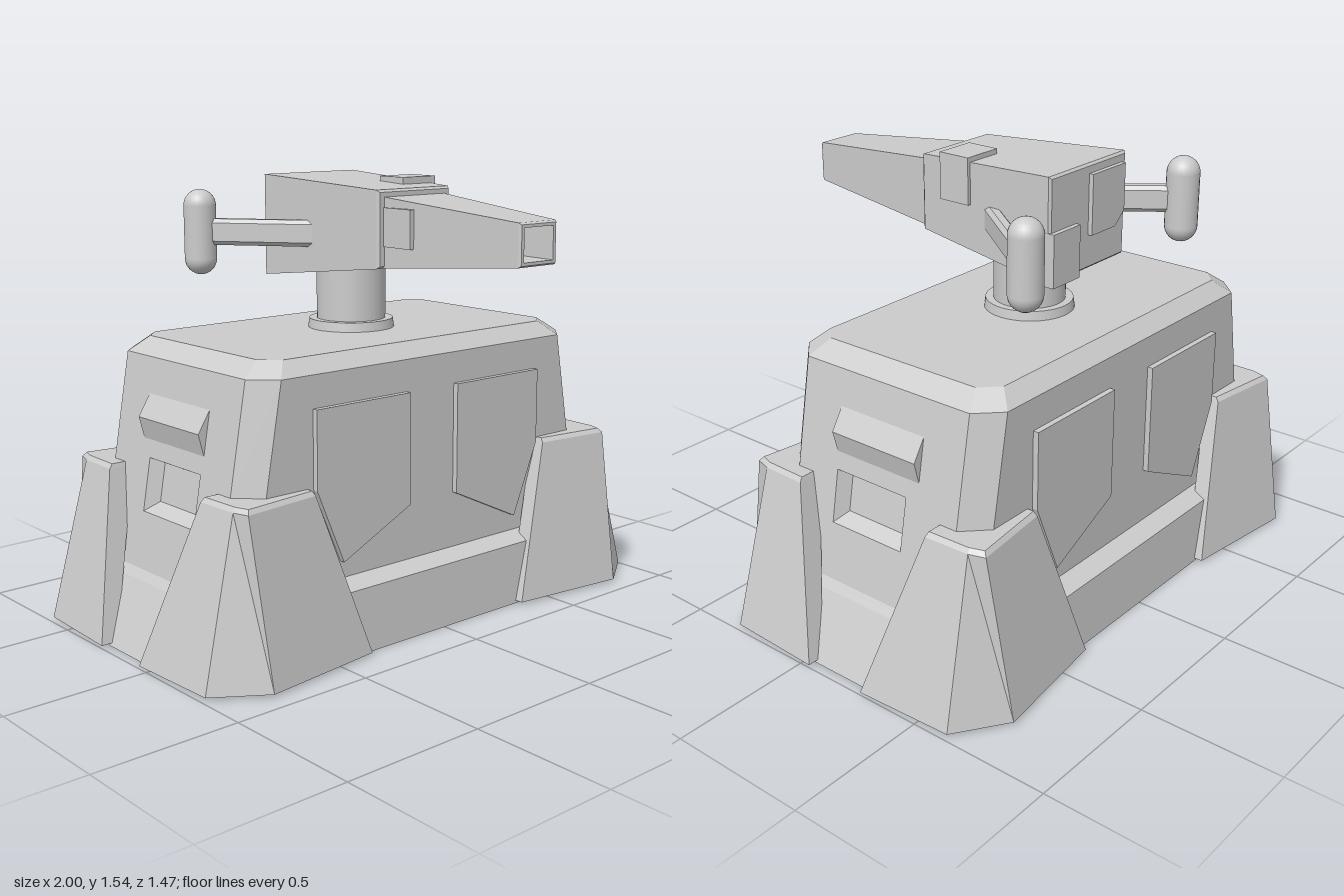
import * as THREE from 'three';

const material = new THREE.MeshStandardMaterial({ color: 0xcccccc, side: THREE.DoubleSide });

function add(parent, name, geometry, x = 0, y = 0, z = 0) {
  const mesh = new THREE.Mesh(geometry, material);
  mesh.name = name;
  mesh.position.set(x, y, z);
  parent.add(mesh);
  return mesh;
}

// Flat-faced skin over a list of rings with equal point counts; optional end caps.
function loft(rings, { capStart = false, capEnd = false, skip = () => false } = {}) {
  const pos = [];
  const quad = (a, b, c, d) => pos.push(...a, ...b, ...c, ...a, ...c, ...d);
  const n = rings[0].length;
  for (let r = 0; r < rings.length - 1; r++) {
    for (let i = 0; i < n; i++) {
      const j = (i + 1) % n;
      if (!skip(r, i)) quad(rings[r][i], rings[r][j], rings[r + 1][j], rings[r + 1][i]);
    }
  }
  const cap = (p, flip) => {
    for (let i = 0; i < n / 2 - 1; i++) {
      const q = [p[i], p[i + 1], p[n - 2 - i], p[n - 1 - i]];
      quad(...(flip ? q.reverse() : q));
    }
  };
  if (capStart) cap(rings[0], true);
  if (capEnd) cap(rings[rings.length - 1], false);
  const g = new THREE.BufferGeometry();
  g.setAttribute('position', new THREE.Float32BufferAttribute(pos, 3));
  g.computeVertexNormals();
  return g;
}

// Rectangle at height y with corners cut by cx and cz
const octagon = (y, hx, hz, cx, cz) => [
  [-hx + cx, hz], [hx - cx, hz], [hx, hz - cz], [hx, -hz + cz],
  [hx - cx, -hz], [-hx + cx, -hz], [-hx, -hz + cz], [-hx, hz - cz],
].map(([x, z]) => [x, y, z]);

// Upright rectangle at depth z
const rect = (z, hw, lo, hi) => [[-hw, lo, z], [hw, lo, z], [hw, hi, z], [-hw, hi, z]];

const shapeOf = (pts) => new THREE.Shape(pts.map(([x, y]) => new THREE.Vector2(x, y)));

function createBase() {
  const base = new THREE.Group();
  base.name = 'base';
  base.position.z = -0.155;

  // Hull, open below, its lower corners cut away behind the legs;
  // the two sloping side walls are made separately
  const wallX = (y) => 0.72 + (0.95 - y) * (0.125 / 0.7);
  add(base, 'hull', loft([
    octagon(0, 0.965, 0.5, 0.585, 0.37),
    octagon(0.22, 0.865, 0.485, 0.375, 0.27),
    octagon(0.25, wallX(0.25), 0.42, 0.345, 0.2),
    octagon(0.56, wallX(0.56), 0.42, 0.08, 0.08),
    octagon(0.95, wallX(0.95), 0.42, 0.08, 0.08),
    octagon(1.0, 0.65, 0.365, 0.06, 0.06),
  ], { capEnd: true, skip: (r, i) => (r === 2 || r === 3) && (i === 2 || i === 6) }));

  // Side walls with a recessed window and a ridge above it
  const opening = (hw, lo, hi) => [[-0.02 - hw, lo], [-0.02 + hw, lo], [-0.02 + hw, hi], [-0.02 - hw, hi]];
  const onWall = (pts, depth) => pts.map(([s, y]) => [wallX(y) - depth, y, -s]);
  for (const side of [1, -1]) {
    const group = new THREE.Group();
    group.name = side > 0 ? 'leftSide' : 'rightSide';
    group.scale.x = side;
    base.add(group);

    const outer = opening(0.148, 0.44, 0.62);
    const shape = shapeOf([
      [-0.22, 0.25], [0.22, 0.25], [0.34, 0.56], [0.34, 0.95], [-0.34, 0.95], [-0.34, 0.56]]);
    shape.holes.push(shapeOf(outer));
    const wall = new THREE.ShapeGeometry(shape);
    const p = wall.attributes.position;
    for (let i = 0; i < p.count; i++) p.setXYZ(i, wallX(p.getY(i)), p.getY(i), -p.getX(i));
    wall.computeVertexNormals();
    add(group, 'sideWall', wall);
    add(group, 'windowRecess', loft(
      [onWall(outer, 0), onWall(opening(0.12, 0.47, 0.6), 0.045)], { capEnd: true }));

    const ridge = shapeOf([[0.73, 0.68], [0.768, 0.68], [0.788, 0.755], [0.741, 0.83], [0.73, 0.83]]);
    add(group, 'sideRidge', new THREE.ExtrudeGeometry(ridge, { depth: 0.35, bevelEnabled: false }), 0, 0, -0.175);
  }

  // Armour panels and corner legs, mirrored to all four quarters
  const panel = new THREE.ExtrudeGeometry(
    shapeOf([[0.11, 0.84], [0.11, 0.45], [0.405, 0.31], [0.515, 0.57], [0.515, 0.84]]),
    { depth: 0.045, bevelEnabled: false });
  const at = (y, pts) => pts.map(([x, z]) => [x, y, z]);
  const leg = loft([
    at(0.01, [[0.36, 0.53], [0.81, 0.585], [0.985, 0.465], [1.0, 0.115],
      [0.94, 0.115], [0.93, 0.44], [0.79, 0.53], [0.36, 0.47]]),
    at(0.565, [[0.535, 0.455], [0.828, 0.491], [0.845, 0.435], [0.851, 0.27],
      [0.76, 0.27], [0.77, 0.34], [0.7, 0.4], [0.535, 0.4]]),
    at(0.58, [[0.54, 0.443], [0.817, 0.478], [0.833, 0.43], [0.838, 0.275],
      [0.76, 0.275], [0.77, 0.34], [0.7, 0.4], [0.54, 0.4]]),
  ], { capStart: true, capEnd: true });
  for (const sx of [1, -1]) {
    for (const sz of [1, -1]) {
      const end = sz > 0 ? 'front' : 'back';
      add(base, end + 'Panel', panel, 0, 0, sz * 0.395).scale.set(sx, 1, sz);
      add(base, end + 'Leg', leg).scale.set(sx, 1, sz);
    }
  }
  return base;
}

function createTurret() {
  const turret = new THREE.Group();
  turret.name = 'turret';
  turret.position.x = 0.01;

  // Swivel
  add(turret, 'swivelFlange', new THREE.CylinderGeometry(0.15, 0.155, 0.035, 40), 0, 1.015, -0.163);
  add(turret, 'swivelColumn', new THREE.CylinderGeometry(0.123, 0.123, 0.22, 40), 0, 1.13, -0.163);

  // Housing with softened ends
  add(turret, 'housing', loft([
    rect(-0.4, 0.197, 1.19, 1.53),
    rect(-0.392, 0.205, 1.182, 1.538),
    rect(0.16, 0.165, 1.246, 1.508),
    rect(0.17, 0.157, 1.254, 1.5),
  ], { capStart: true, capEnd: true }));

  // Tapered barrel with a hollow muzzle
  add(turret, 'barrel', loft([
    rect(0.16, 0.138, 1.247, 1.485),
    rect(0.725, 0.084, 1.294, 1.434),
    rect(0.735, 0.078, 1.3, 1.428),
    rect(0.735, 0.066, 1.31, 1.418),
    rect(0.48, 0.052, 1.316, 1.4),
  ], { capEnd: true }));

  // Surface fittings
  add(turret, 'topFitting', new THREE.BoxGeometry(0.15, 0.16, 0.12), 0.118, 1.457, 0.005);
  add(turret, 'barrelFitting', new THREE.BoxGeometry(0.04, 0.13, 0.13), -0.122, 1.385, 0.235);
  add(turret, 'rearFitting', new THREE.BoxGeometry(0.14, 0.18, 0.05), 0.135, 1.265, -0.392);
  add(turret, 'rearPlate', new THREE.ExtrudeGeometry(
    shapeOf([[-0.18, 1.345], [-0.13, 1.3], [0, 1.3], [0, 1.505], [-0.18, 1.505]]),
    { depth: 0.03, bevelEnabled: false }), 0, 0, -0.416);

  // Swept arms with bevelled edges, carrying upright pods
  const armSection = shapeOf([
    [-0.024, -0.032], [-0.012, -0.046], [0.012, -0.046], [0.024, -0.032],
    [0.024, 0.032], [0.012, 0.046], [-0.012, 0.046], [-0.024, 0.032]]);
  for (const side of [1, -1]) {
    const from = new THREE.Vector2(0.011 + side * 0.145, -0.12);
    const to = new THREE.Vector2(0.011 + side * 0.43, -0.49);
    const d = to.clone().sub(from);
    const arm = add(turret, 'arm',
      new THREE.ExtrudeGeometry(armSection, { depth: d.length(), bevelEnabled: false }), from.x, 1.342, from.y);
    arm.rotation.y = Math.atan2(d.x, d.y);
    add(turret, 'pod', new THREE.CapsuleGeometry(0.057, 0.186, 8, 24), to.x, 1.34, to.y);
  }
  return turret;
}

export function createModel() {
  const model = new THREE.Group();
  model.name = 'gunEmplacement';
  model.add(createBase(), createTurret());
  return model;
}
